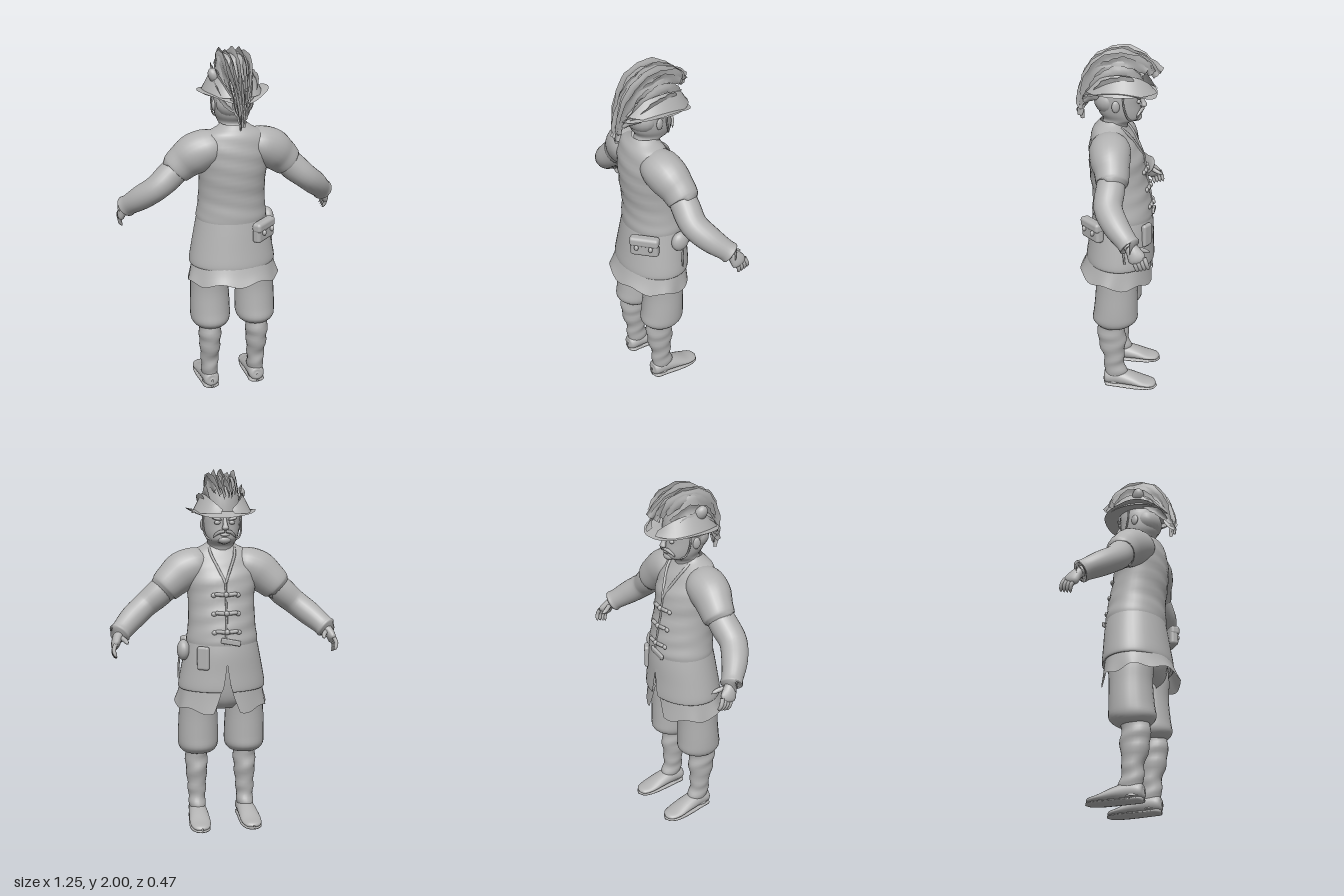
import * as THREE from 'three';
import { mergeVertices } from 'three/addons/utils/BufferGeometryUtils.js';
import { RoundedBoxGeometry } from 'three/addons/geometries/RoundedBoxGeometry.js';

const V = (x, y, z) => new THREE.Vector3(x, y, z);

// Smooth grid surface from a rule fn(u, v) -> Vector3, u and v in 0..1
function surface(fn, nu, nv) {
  const pos = [], idx = [];
  for (let j = 0; j <= nv; j++) for (let i = 0; i <= nu; i++) pos.push(...fn(i / nu, j / nv).toArray());
  for (let j = 0; j < nv; j++) for (let i = 0; i < nu; i++) {
    const a = j * (nu + 1) + i, b = a + 1, c = a + nu + 1, d = c + 1;
    idx.push(a, c, b, b, c, d);
  }
  let g = new THREE.BufferGeometry();
  g.setAttribute('position', new THREE.Float32BufferAttribute(pos, 3));
  g.setIndex(idx);
  g = mergeVertices(g, 1e-5);
  g.computeVertexNormals();
  return g;
}

// Sweep ellipses through rows [x, y, z, a, b]; flat keeps the rings level,
// gap(v) opens the ring at -z, warp(point, angle, v) bends the result
function loft(rows, { flat = false, ref = V(0, 0, 1), seg = 24, steps = 4, gap = () => 0, warp } = {}) {
  const path = new THREE.CatmullRomCurve3(rows.map(r => V(r[0], r[1], r[2])), false, 'catmullrom', 0.5);
  const size = new THREE.CatmullRomCurve3(rows.map(r => V(r[3], r[4], 0)), false, 'catmullrom', 0.5);
  return surface((u, v) => {
    const c = path.getPoint(v), s = size.getPoint(v), g = gap(v);
    const ang = -Math.PI / 2 + g + u * (2 * Math.PI - 2 * g);
    const t = flat ? V(0, 1, 0) : path.getTangent(v);
    const q = ref.clone().addScaledVector(t, -ref.dot(t)).normalize();
    const p = t.clone().cross(q);
    c.addScaledVector(p, Math.cos(ang) * Math.max(s.x, 0)).addScaledVector(q, Math.sin(ang) * Math.max(s.y, 0));
    if (warp) warp(c, ang, v);
    return c;
  }, seg, (rows.length - 1) * steps);
}

// Level ring rows written as [y, rx, zCentre, rz]
const rings = (list, x = 0) => list.map(([y, rx, z, rz]) => [x, y, z, rx, rz]);
const tube = (pts, r) => new THREE.TubeGeometry(new THREE.CatmullRomCurve3(pts.map(p => V(...p))), 16, r, 6);

// Thin ragged feather along a curve, its width lying in the upright plane
function feather(pts, width, seed) {
  const curve = new THREE.CatmullRomCurve3(pts.map(p => V(...p)));
  return surface((u, v) => {
    const c = curve.getPoint(v), t = curve.getTangent(v), w = V(0, -t.z, t.y).normalize();
    const jag = 1 + 0.22 * Math.sin(v * 41 + seed * 5) * Math.sin(v * 17 + seed);
    const spread = (u - 0.5) * width * (0.3 + 0.7 * Math.sin(Math.PI * (0.12 + 0.85 * v))) * jag;
    c.addScaledVector(w, spread);
    c.x += Math.abs(u - 0.5) * 0.02 * Math.sin(seed * 3 + v * 6);
    return c;
  }, 4, 28);
}

export function createModel() {
  const group = new THREE.Group();
  const grey = new THREE.MeshStandardMaterial({ color: 0xb2b2b2, side: THREE.DoubleSide });
  grey.name = 'plain grey';
  const add = (name, geo, pos, rot, scale) => {
    const m = new THREE.Mesh(geo, grey);
    m.name = name;
    if (pos) m.position.set(...pos);
    if (rot) m.rotation.set(...rot);
    if (scale) m.scale.set(...scale);
    group.add(m);
    return m;
  };
  const ball = new THREE.SphereGeometry(1, 20, 14);

  // Upper jacket with slight cloth folds
  add('jacketTop', loft(rings([
    [1.05, 0.199, -0.02, 0.168], [1.08, 0.2, -0.02, 0.17], [1.13, 0.192, -0.017, 0.165], [1.2, 0.187, -0.012, 0.16],
    [1.3, 0.187, 0.005, 0.155], [1.4, 0.198, 0.015, 0.15], [1.48, 0.198, 0.032, 0.128],
    [1.55, 0.165, 0.045, 0.098], [1.585, 0.1, 0.045, 0.076], [1.605, 0.072, 0.035, 0.068]]), {
    flat: true, seg: 40,
    warp: (p, a, v) => { p.z += 0.003 * Math.sin(p.y * 70 + p.x * 14) * Math.sin(Math.PI * v); },
  }));
  // Jacket skirt, open at the face side
  add('jacketSkirt', loft(rings([
    [0.805, 0.225, -0.008, 0.175], [0.795, 0.242, -0.008, 0.19], [0.82, 0.246, -0.008, 0.193], [0.9, 0.232, -0.012, 0.185],
    [1.0, 0.212, -0.018, 0.176], [1.09, 0.193, -0.02, 0.163]]), {
    flat: true, seg: 40, gap: v => 0.2 * Math.max(0, 1 - v * 1.4),
  }));
  // Undershirt hem with a wavy edge
  add('shirtHem', loft(rings([
    [0.7, 0.262, 0.012, 0.212], [0.76, 0.245, 0.004, 0.195], [0.84, 0.225, -0.005, 0.178]]), {
    flat: true, seg: 64, gap: v => 0.28 - 0.2 * v,
    warp: (p, a, v) => {
      p.y += (1 - v) * (0.012 * Math.sin(a * 7) + 0.02 * Math.sin(a));
      p.x *= 1 + (1 - v) * 0.02 * Math.sin(a * 9);
    },
  }));
  add('hips', loft(rings([[0.68, 0.1, 0, 0.09], [0.74, 0.2, 0, 0.13], [0.85, 0.215, 0, 0.15], [1.0, 0.19, -0.015, 0.15]]), { flat: true }));

  // Collar, front seam and fastenings
  for (const s of [-1, 1]) add('lapel', tube([[s * 0.07, 1.575, -0.015], [s * 0.065, 1.54, -0.056], [s * 0.035, 1.47, -0.1], [0, 1.39, -0.14]], 0.008));
  add('frontSeam', tube([[0, 1.39, -0.14], [0, 1.3, -0.152], [0, 1.2, -0.173], [0.01, 1.06, -0.19]], 0.006));
  for (const [y, z] of [[1.33, -0.15], [1.23, -0.167], [1.13, -0.183]]) {
    for (const s of [-1, 1]) {
      add('clasp', new THREE.CapsuleGeometry(0.011, 0.04, 4, 8), [s * 0.032, y, z], [0, 0, Math.PI / 2 + s * 0.12]);
      add('claspEnd', ball, [s * 0.066, y - 0.004, z + 0.008], null, [0.016, 0.013, 0.01]);
    }
    add('claspKnot', ball, [0, y, z - 0.008], null, [0.014, 0.015, 0.012]);
  }
  add('sashEnd', new RoundedBoxGeometry(0.11, 0.03, 0.016, 2, 0.007), [-0.02, 1.075, -0.193], [0, 0, 0.2]);

  // Belt pouches
  add('satchel', new RoundedBoxGeometry(0.16, 0.115, 0.05, 3, 0.018), [0.145, 1.01, 0.132], [0, 0.72, 0.03]);
  add('satchelFlap', new RoundedBoxGeometry(0.166, 0.055, 0.056, 3, 0.018), [0.147, 1.042, 0.135], [0, 0.72, 0.03]);
  for (const d of [-0.04, 0.04]) add('satchelBuckle', ball, [0.167 + d * 0.75, 1.01, 0.155 - d * 0.66], null, [0.012, 0.016, 0.012]);
  add('roundFlask', ball, [0.222, 1.015, -0.05], null, [0.036, 0.058, 0.052]);
  add('flaskCord', tube([[0.245, 0.98, -0.055], [0.25, 0.92, -0.05], [0.25, 0.86, -0.055]], 0.006));
  add('longPouch', new RoundedBoxGeometry(0.07, 0.13, 0.03, 3, 0.014), [0.128, 0.985, -0.165], [0, -0.57, 0]);

  for (const s of [-1, 1]) {
    const mx = rows => rows.map(([x, ...r]) => [s * x, ...r]);
    // Sleeve and forearm
    add('shoulderSleeve', loft(mx([[0.06, 1.49, 0.035, 0.06, 0.07], [0.13, 1.48, 0.035, 0.098, 0.108], [0.21, 1.445, 0.025, 0.112, 0.108],
      [0.27, 1.4, 0.01, 0.1, 0.093], [0.315, 1.358, 0.003, 0.088, 0.085], [0.32, 1.353, 0.003, 0.07, 0.07]])));
    add('forearmSleeve', loft(mx([[0.28, 1.39, 0.005, 0.07, 0.07], [0.35, 1.325, 0.01, 0.077, 0.076], [0.425, 1.262, 0.012, 0.07, 0.074],
      [0.5, 1.2, -0.035, 0.068, 0.068], [0.56, 1.145, -0.095, 0.058, 0.055], [0.578, 1.127, -0.115, 0.06, 0.056], [0.58, 1.125, -0.117, 0.03, 0.03]])));
    // Hand with curled fingers and a thumb
    add('palm', loft(mx([[0.565, 1.14, -0.1, 0.03, 0.028], [0.588, 1.11, -0.13, 0.027, 0.036], [0.603, 1.07, -0.155, 0.022, 0.044], [0.604, 1.05, -0.167, 0.006, 0.01]]), { seg: 14 }));
    for (let i = 0; i < 4; i++) {
      const z = -0.135 - i * 0.018, y = 1.068 + i * 0.005;
      add('finger', loft(mx([[0.603, y, z, 0.012, 0.012], [0.613, y - 0.03, z - 0.012, 0.011, 0.011],
        [0.606, y - 0.056, z - 0.02, 0.009, 0.009], [0.597, y - 0.068, z - 0.022, 0.001, 0.001]]), { seg: 8 }));
    }
    add('thumb', loft(mx([[0.58, 1.115, -0.13, 0.014, 0.014], [0.552, 1.1, -0.168, 0.013, 0.013],
      [0.543, 1.09, -0.195, 0.01, 0.01], [0.543, 1.085, -0.213, 0.001, 0.001]]), { seg: 8, ref: V(0, 1, 0) }));

    // Baggy breeches, stocking and shoe
    add('breeches', loft(rings([[0.41, 0.07, 0.02, 0.07], [0.422, 0.092, 0.015, 0.098], [0.455, 0.112, 0.01, 0.128], [0.52, 0.115, 0.005, 0.125],
      [0.64, 0.11, 0, 0.12], [0.75, 0.105, 0, 0.125], [0.84, 0.08, 0, 0.12]], s * 0.134), { flat: true }));
    add('stocking', loft(rings([[0.03, 0.042, 0.01, 0.058], [0.1, 0.046, 0.005, 0.066], [0.15, 0.05, 0.013, 0.06], [0.2, 0.052, 0.018, 0.06], [0.3, 0.061, 0.026, 0.08],
      [0.37, 0.064, 0.03, 0.08], [0.45, 0.065, 0.03, 0.075]], s * 0.141), {
      flat: true, warp: (p, a, v) => { p.x += 0.003 * Math.sin(p.y * 75 + a); p.z += 0.004 * Math.sin(p.y * 55); },
    }));
    add('shoe', loft(mx([[0.138, 0.055, 0.078, 0.004, 0.01], [0.138, 0.055, 0.065, 0.042, 0.04], [0.14, 0.062, 0, 0.05, 0.048], [0.143, 0.052, -0.08, 0.056, 0.038],
      [0.146, 0.035, -0.16, 0.058, 0.022], [0.147, 0.028, -0.215, 0.042, 0.016], [0.147, 0.027, -0.235, 0.005, 0.004]]), {
      ref: V(0, 1, 0), warp: p => { p.y = Math.max(p.y, 0.022 - 0.04 * Math.min(0.55, Math.max(0, -p.z * 3))); },
    }));
    add('sole', loft(mx([[0.138, 0.016, 0.076, 0.005, 0.008], [0.138, 0.016, 0.06, 0.045, 0.014], [0.141, 0.014, 0, 0.05, 0.014],
      [0.146, 0.012, -0.14, 0.06, 0.012], [0.147, 0.012, -0.215, 0.044, 0.01], [0.147, 0.012, -0.24, 0.004, 0.004]]), { ref: V(0, 1, 0), seg: 14 }));

    // Ear, eye, brow, moustache and chin strap
    add('ear', ball, [s * 0.102, 1.7, 0.008], [0, s * 0.3, 0], [0.012, 0.032, 0.022]);
    add('eye', ball, [s * 0.04, 1.715, -0.107], null, [0.017, 0.011, 0.011]);
    add('brow', ball, [s * 0.042, 1.735, -0.11], [0, 0, s * 0.2], [0.027, 0.008, 0.012]);
    add('moustache', loft(mx([[0.003, 1.668, -0.128, 0.008, 0.008], [0.03, 1.665, -0.12, 0.01, 0.009], [0.055, 1.645, -0.105, 0.006, 0.006], [0.062, 1.632, -0.1, 0.001, 0.001]]), { seg: 8 }));
    add('chinStrap', tube([[s * 0.104, 1.77, -0.03], [s * 0.106, 1.7, -0.035], [s * 0.09, 1.635, -0.055], [0, 1.6, -0.09]], 0.005));
  }

  // Head
  add('head', loft(rings([[1.54, 0.072, 0.025, 0.065], [1.59, 0.073, 0.018, 0.072], [1.615, 0.08, -0.012, 0.098], [1.65, 0.094, -0.004, 0.113],
    [1.7, 0.102, 0.003, 0.117], [1.76, 0.103, 0.005, 0.12], [1.82, 0.085, 0.005, 0.1]]), { flat: true }));
  add('nose', loft([[0, 1.74, -0.112, 0.008, 0.008], [0, 1.705, -0.128, 0.013, 0.014], [0, 1.684, -0.134, 0.019, 0.015], [0, 1.672, -0.122, 0.004, 0.004]], { flat: true, seg: 12 }));
  add('lips', ball, [0, 1.65, -0.115], null, [0.026, 0.009, 0.011]);
  add('chin', ball, [0, 1.622, -0.098], null, [0.036, 0.022, 0.024]);
  add('hair', ball, [0, 1.715, 0.055], null, [0.101, 0.08, 0.08]);

  // Hat: crown, drooping brim, and turned-up side flaps
  add('hatCrown', loft(rings([[1.75, 0.106, 0.003, 0.122], [1.82, 0.1, 0, 0.115], [1.9, 0.088, -0.003, 0.1], [1.945, 0.075, -0.005, 0.085], [1.96, 0.045, -0.005, 0.05], [1.963, 0, -0.005, 0]]), { flat: true }));
  add('hatBrim', surface((u, v) => {
    const a = u * Math.PI * 2, c = Math.cos(a), s = Math.sin(a), k = 1 + 0.03 * Math.sin(a * 5) * v;
    return V(c * (0.1 + 0.092 * v) * k, 1.775 + 0.012 * v * c * c - 0.035 * v * s * s + 0.006 * Math.sin(a * 3 + 1) * v, -0.008 + s * (0.115 + 0.085 * v) * k);
  }, 48, 6));
  for (const s of [-1, 1]) add('hatFlap', surface((u, v) => {
    const a = (u - 0.5) * 2.7, rise = Math.cos(a * 1.15);
    return V(s * Math.cos(a) * (0.165 - 0.055 * v), 1.765 + v * (0.02 + 0.085 * rise), -0.015 + Math.sin(a) * (0.195 - 0.025 * v));
  }, 20, 4));

  // Plume: a central crest flanked by feathers that gather behind the neck
  for (let i = -4; i <= 4; i++) {
    const x = i * 0.017, d = Math.abs(i), e = (d % 3) * 0.012;
    add('plumeFeather', feather([[x * 0.6, 1.87 - e, -0.225 + d * 0.014], [x * 0.9, 1.93 - e * 0.5, -0.13], [x, 1.965 - e, -0.01], [x, 1.925 - e, 0.1],
      [x * 0.7, 1.82, 0.175 - e], [x * 0.4, 1.7, 0.208 - e], [x * 0.3, 1.6 + d * 0.02, 0.2 + e]], 0.065 - d * 0.002, i + 6));
  }
  for (const s of [-1, 1]) for (let k = 0; k < 3; k++) {
    const x = s * (0.075 + k * 0.022), y = 1.93 - k * 0.045;
    add('sideFeather', feather([[x * 0.8, y - 0.05, -0.15 + k * 0.02], [x, y, -0.05], [x, y - 0.02, 0.05], [x * 0.7, y - 0.09, 0.13], [x * 0.3, y - 0.2 + k * 0.03, 0.185]], 0.06, k + s * 2 + 4));
  }
  add('hatTuft', ball, [-0.105, 1.86, 0.03], [0.3, 0, 0.5], [0.03, 0.045, 0.035]);
  return group;
}
